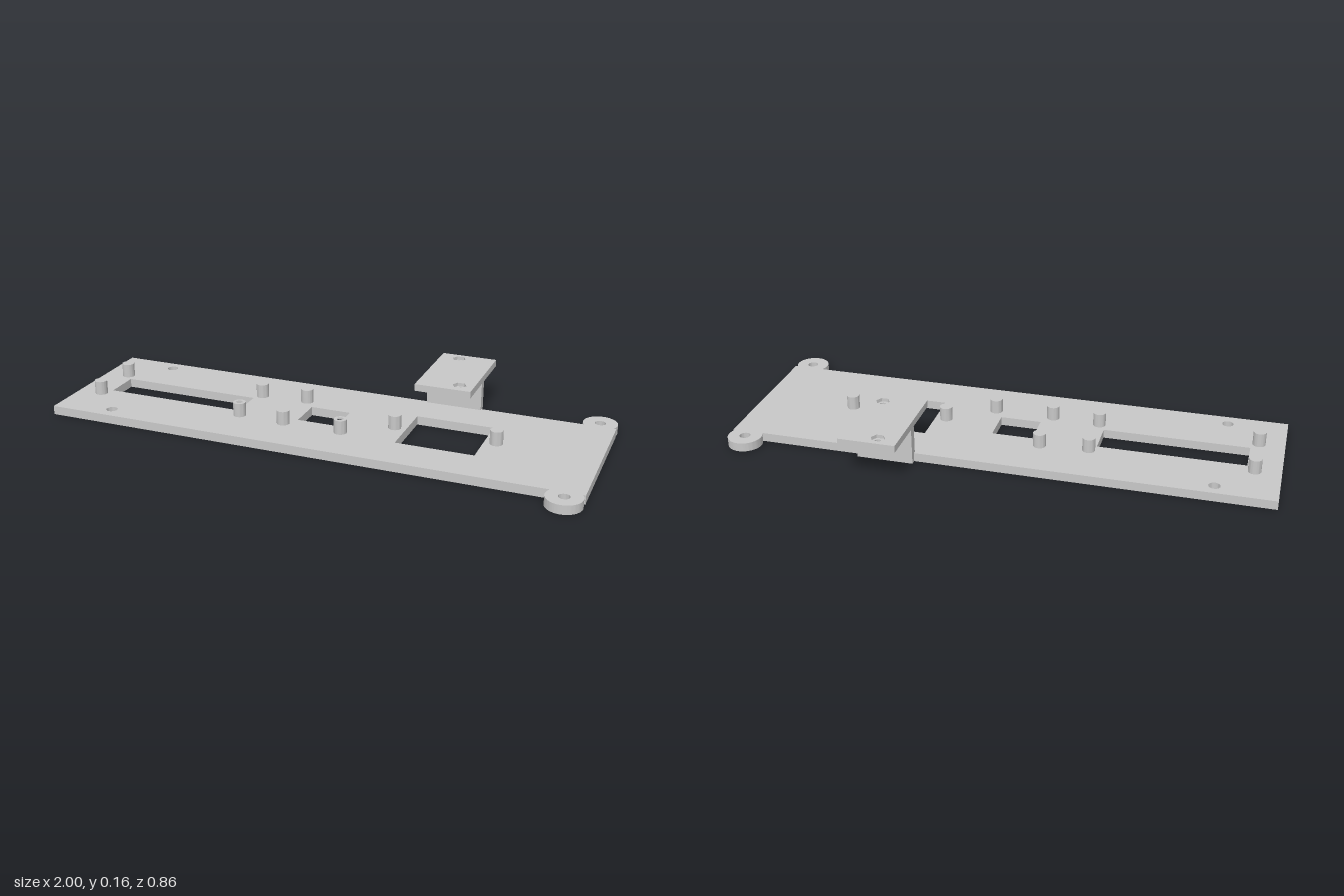
import * as THREE from 'three';
import { toCreasedNormals } from 'three/addons/utils/BufferGeometryUtils.js';

const T = 0.033; // base plate thickness

// Closed path from [x, z] corners; plan shapes use y = -z
const polygon = (pts, Type = THREE.Path) =>
  new Type().setFromPoints(pts.map(([x, z]) => new THREE.Vector2(x, -z)));

const rect = (x0, x1, z0, z1, Type) =>
  polygon([[x0, z0], [x0, z1], [x1, z1], [x1, z0]], Type);

function ring(x, z, r, sides = 32, Type = THREE.Path) {
  const pts = [];
  for (let i = 0; i < sides; i++) {
    const a = (i / sides) * Math.PI * 2;
    pts.push([x + r * Math.cos(a), z + r * Math.sin(a)]);
  }
  return polygon(pts, Type);
}

export function createModel() {
  const group = new THREE.Group();
  const grey = new THREE.MeshStandardMaterial({ color: 0xc8c8c8 });
  grey.name = 'light grey';

  // Extrude a plan shape upward from y0 to y1
  function slab(name, shape, holes, y0, y1) {
    shape.holes.push(...holes);
    const raw = new THREE.ExtrudeGeometry(shape, { depth: y1 - y0, bevelEnabled: false, curveSegments: 32 });
    raw.rotateX(-Math.PI / 2).translate(0, y0, 0);
    const mesh = new THREE.Mesh(toCreasedNormals(raw, 0.5), grey);
    mesh.name = name;
    group.add(mesh);
  }

  const posts = [
    [-0.905, -0.053], [-0.905, 0.149], [-0.313, -0.053], [-0.313, 0.149],
    [-0.133, -0.065], [-0.133, 0.159], [0.09, 0.159], [0.257, 0.048], [0.632, 0.048],
  ];
  const earX = 0.937, earR = 0.063, back = -0.237, front = 0.333;
  const ears = [-0.27, 0.366];

  // Plate outline with a rounded mounting ear at both +x corners
  const a = Math.asin(0.033 / earR);
  const outline = new THREE.Shape();
  outline.moveTo(-1, -back);
  outline.lineTo(-1, -front);
  outline.absarc(earX, -ears[1], earR, Math.PI - a, 2 * Math.PI + a, false);
  outline.lineTo(1, -front);
  outline.lineTo(1, -back);
  outline.absarc(earX, -ears[0], earR, -a, Math.PI + a, false);
  outline.closePath();

  slab('basePlate', outline, [
    rect(-0.877, -0.337, -0.02, 0.112), // long slot
    rect(-0.095, 0.058, -0.02, 0.112), // small window
    rect(0.3, 0.588, -0.083, 0.172), // large window
    ring(-0.78, -0.188, 0.021),
    ring(-0.78, 0.278, 0.021),
    ...ears.map((z) => ring(earX, z, 0.02)),
    ...posts.map(([x, z]) => ring(x, z, 0.012)),
  ], 0, T);

  // Hollow standoffs
  for (const [x, z] of posts) {
    slab('standoff', ring(x, z, 0.0235, 32, THREE.Shape), [ring(x, z, 0.012)], T, 0.085);
  }

  // T-shaped bracket: foot beside the plate, web, then a top with hexagonal recesses over through holes
  const bracketHoles = [[0.365, -0.387], [0.445, -0.118]];
  const bracketRect = (z0, z1) => rect(0.29, 0.5, z0, z1, THREE.Shape);
  slab('bracketFoot', bracketRect(-0.257, back), [], 0, T);
  slab('bracketWeb', bracketRect(-0.257, -0.227), [], T, 0.138);
  slab('bracketTopLower', bracketRect(-0.427, -0.069), bracketHoles.map(([x, z]) => ring(x, z, 0.013)), 0.138, 0.151);
  slab('bracketTopUpper', bracketRect(-0.427, -0.069), bracketHoles.map(([x, z]) => ring(x, z, 0.026, 6)), 0.151, 0.164);

  return group;
}
